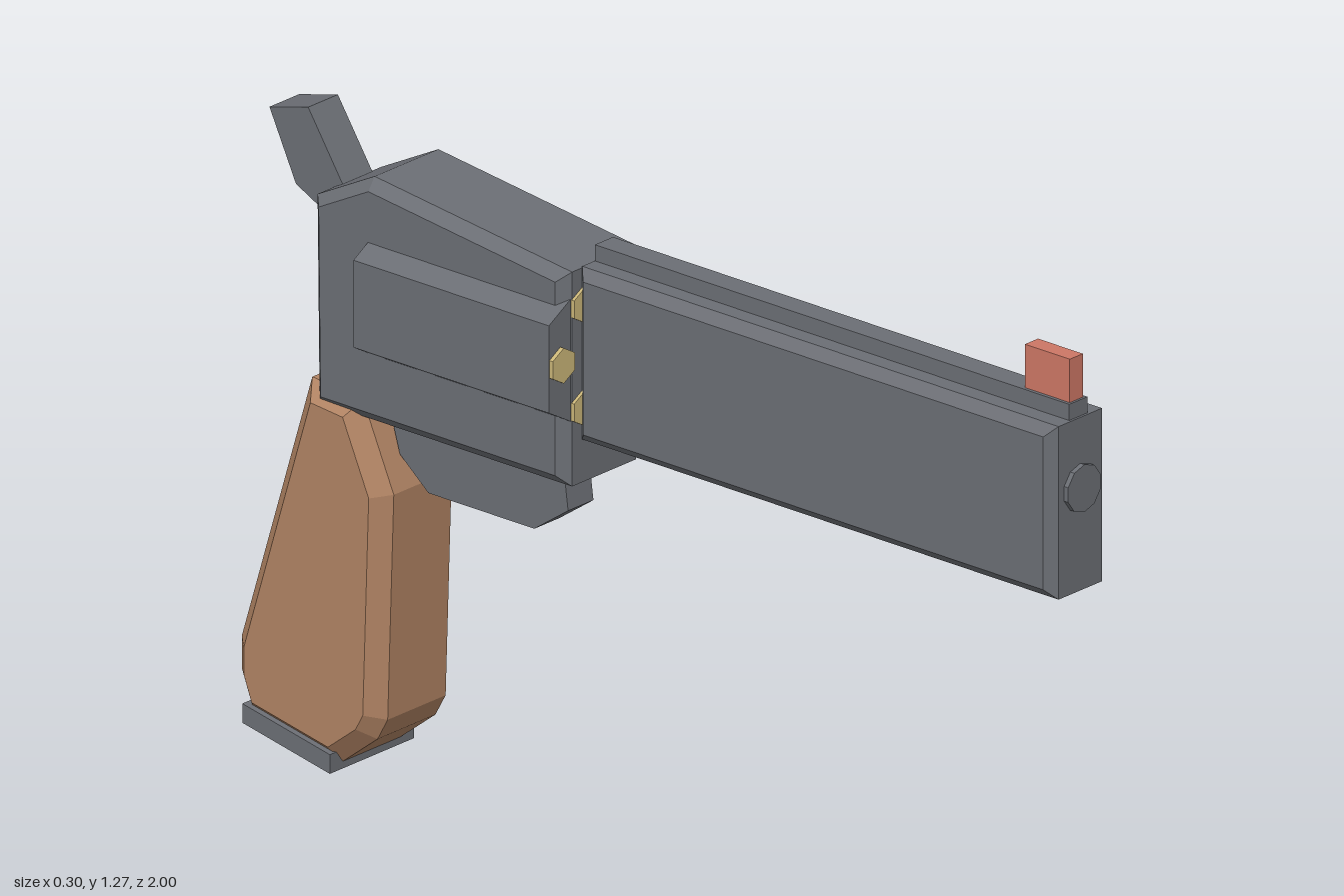
import * as THREE from 'three';

const material = (name, color) => {
  const m = new THREE.MeshStandardMaterial({ color, flatShading: true });
  m.name = name;
  return m;
};

export function createModel() {
  const group = new THREE.Group();
  const steel = material('steel', 0x6b6e74);
  const wood = material('wood', 0xb08363);
  const brass = material('brass', 0xcab578);
  const red = material('red', 0xcc7765);

  const add = (name, geometry, mat, x = 0, y = 0, z = 0) => {
    const mesh = new THREE.Mesh(geometry, mat);
    mesh.name = name;
    mesh.position.set(x, y, z);
    group.add(mesh);
    return mesh;
  };

  // Side profile of [backward distance, height] points, extruded across x;
  // the chamfer cuts inward so the profile stays the outer outline.
  const slab = (name, points, halfWidth, mat, inset = 0, depth = inset) => {
    const shape = new THREE.Shape(points.map(([u, v]) => new THREE.Vector2(u, v)));
    const length = 2 * (halfWidth - depth);
    const geometry = new THREE.ExtrudeGeometry(shape, {
      depth: length,
      bevelEnabled: inset > 0,
      bevelSize: inset,
      bevelOffset: -inset,
      bevelThickness: depth,
      bevelSegments: 1,
    });
    geometry.translate(0, 0, -length / 2).rotateY(Math.PI / 2);
    return add(name, geometry, mat);
  };

  // Barrel, muzzle, rib and front sight
  slab('barrel', [[-0.99, 0.805], [0.18, 0.805], [0.18, 1.148], [-0.99, 1.148]], 0.08, steel, 0.02);
  add('muzzle', new THREE.CylinderGeometry(0.047, 0.047, 0.03, 10).rotateX(Math.PI / 2), steel, 0, 1.01, 0.985);
  add('topRib', new THREE.BoxGeometry(0.05, 0.035, 1.165), steel, 0, 1.1625, 0.4025);
  add('frontSight', new THREE.BoxGeometry(0.036, 0.087, 0.11), red, 0, 1.2225, 0.925);

  // Frame
  slab('frame', [[0.18, 0.72], [0.8, 0.72], [0.805, 1.13], [0.665, 1.203], [0.18, 1.145]], 0.11, steel, 0.022);

  // Six-sided drum with its chambers
  add('drum', new THREE.CylinderGeometry(0.173, 0.173, 0.48, 6).rotateX(Math.PI / 2), steel, 0, 0.97, -0.422);
  for (let i = 0; i < 6; i++) {
    const a = (i * Math.PI) / 3;
    add('chamber', new THREE.CylinderGeometry(0.035, 0.035, 0.009, 6).rotateX(Math.PI / 2), brass,
      0.118 * Math.cos(a), 0.97 + 0.118 * Math.sin(a), -0.178);
  }

  // Trigger guard and hammer
  slab('triggerGuard', [[0.25, 0.74], [0.237, 0.64], [0.32, 0.582], [0.58, 0.582], [0.65, 0.64], [0.68, 0.74]], 0.035, steel);
  slab('hammer', [[0.785, 1.14], [0.82, 1.07], [0.9, 1.11], [0.965, 1.245], [0.87, 1.27]], 0.041, steel);

  // Grip and its base plate
  slab('grip', [[0.7, 0.748], [0.625, 0.58], [0.64, 0.13], [0.665, 0.085], [0.75, 0.018], [0.97, 0.062],
    [0.998, 0.135], [0.998, 0.2], [0.825, 0.76]], 0.112, wood, 0.033, 0.032);
  slab('basePlate', [[0.75, 0.004], [0.965, 0.047], [0.965, 0.085], [0.75, 0.042]], 0.116, steel);

  // Fit the model to its frame
  const box = new THREE.Box3().setFromObject(group);
  group.position.set(0, -box.min.y, -(box.min.z + box.max.z) / 2);
  return group;
}
